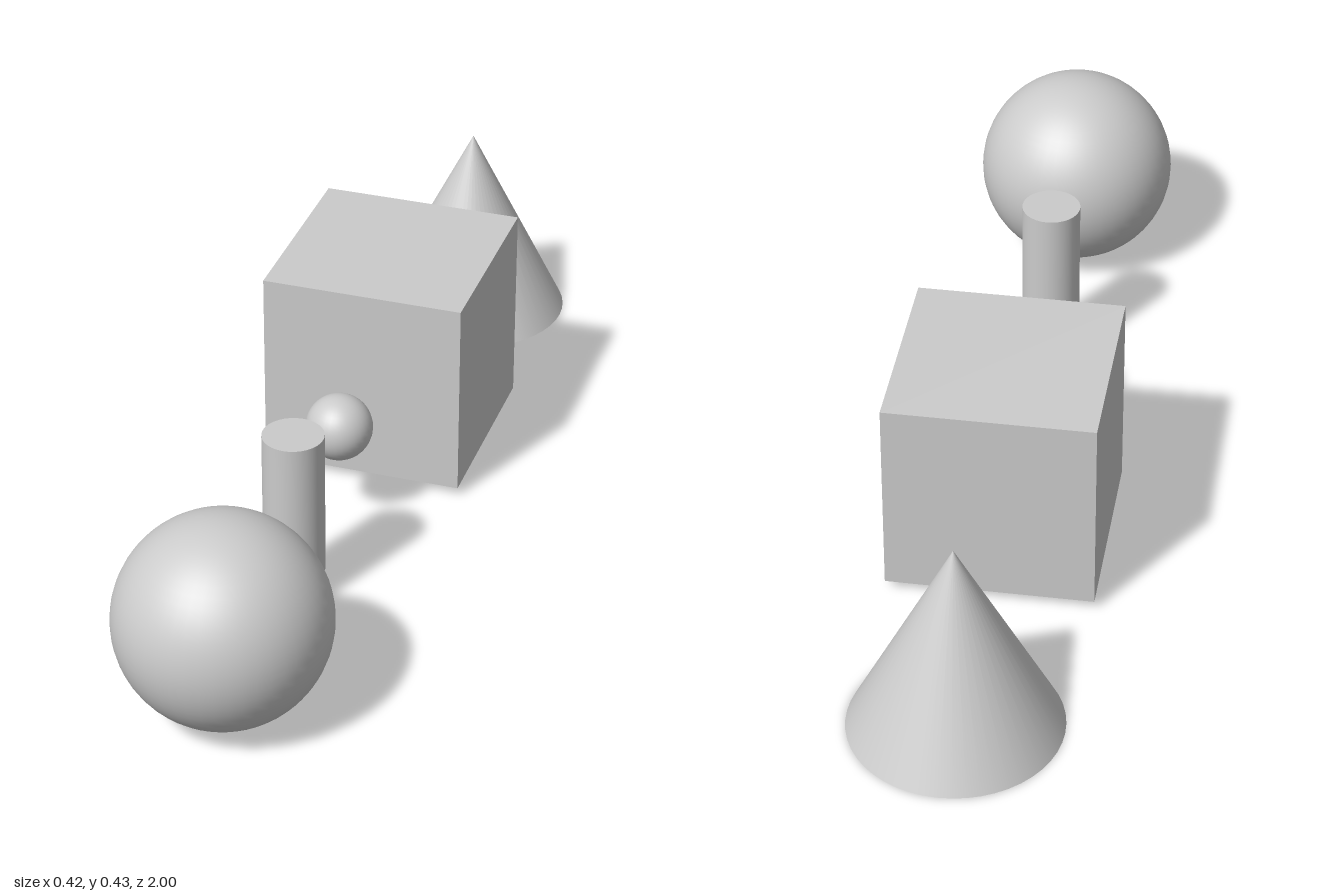
import * as THREE from 'three';

export function createModel() {
  const group = new THREE.Group();
  const material = new THREE.MeshStandardMaterial({ color: 0xcccccc });

  const add = (name, geometry, x, y, z) => {
    const mesh = new THREE.Mesh(geometry, material);
    mesh.name = name;
    mesh.position.set(x, y, z);
    group.add(mesh);
  };

  // Five separate solids in a row, from front to back
  add('largeSphere', new THREE.SphereGeometry(0.205, 48, 32), 0.002, 0.207, 0.795);
  add('cylinder', new THREE.CylinderGeometry(0.06, 0.06, 0.3, 32), 0, 0.21, 0.394);
  add('smallSphere', new THREE.SphereGeometry(0.067, 32, 24), 0, 0.215, 0.12);
  add('cube', new THREE.BoxGeometry(0.41, 0.41, 0.41), -0.003, 0.223, -0.234);
  add('cone', new THREE.ConeGeometry(0.205, 0.41, 48), 0.002, 0.205, -0.795);

  return group;
}
